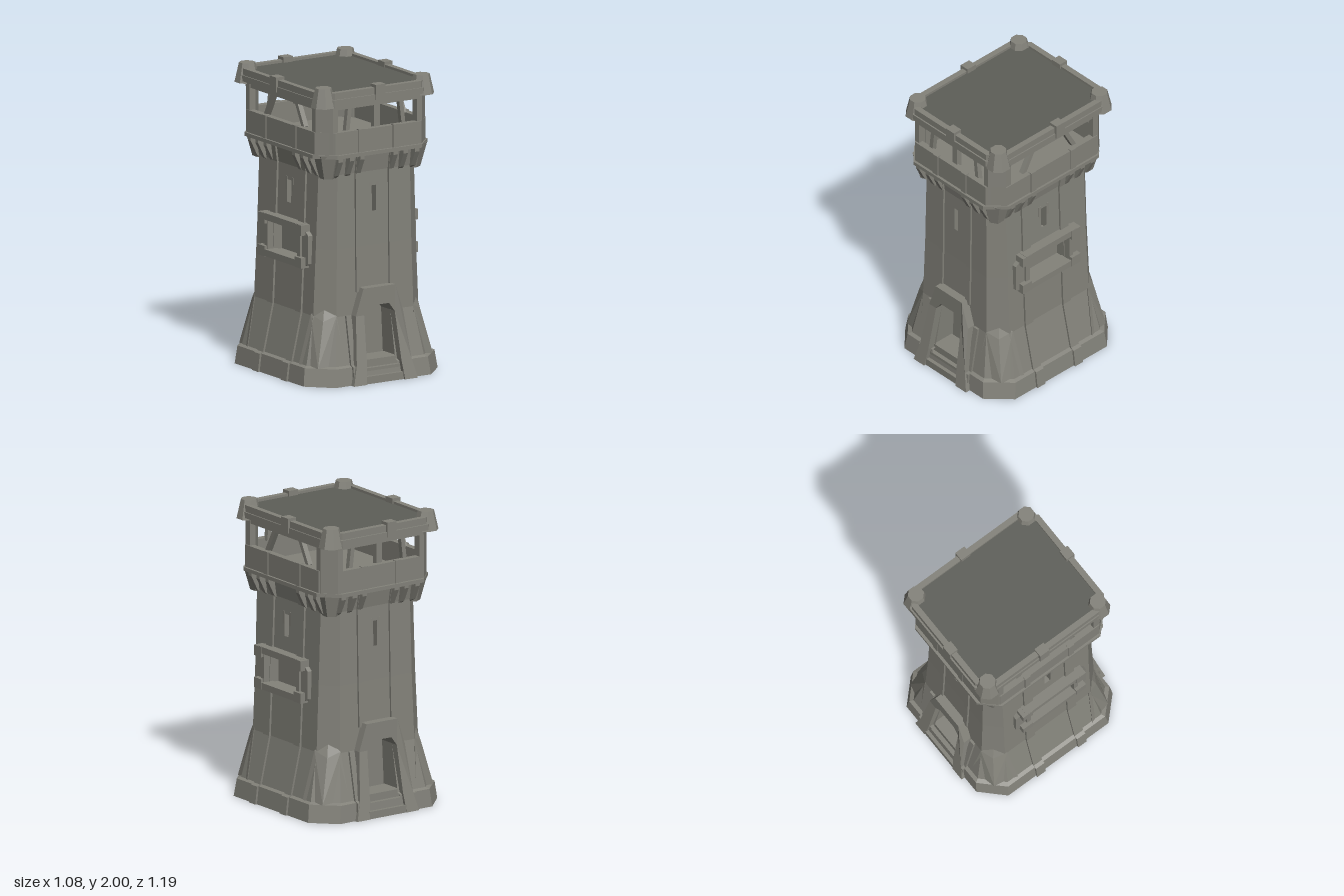
import * as THREE from 'three';
import { ConvexGeometry } from 'three/addons/geometries/ConvexGeometry.js';

const mat = (name, color) => {
  const m = new THREE.MeshStandardMaterial({ color, flatShading: true, side: THREE.DoubleSide });
  m.name = name;
  return m;
};

// Tower outline at each height: y, half width, front z, back z, corner chamfer
const LEVELS = [
  [0, 0.525, 0.545, -0.585, 0.15],
  [0.12, 0.51, 0.53, -0.575, 0.15],
  [0.13, 0.485, 0.505, -0.55, 0.14],
  [0.45, 0.412, 0.445, -0.485, 0.11],
  [0.9, 0.392, 0.435, -0.47, 0.1],
  [1.4, 0.375, 0.43, -0.46, 0.09],
  [1.54, 0.395, 0.45, -0.485, 0.09],
];

function outline(y) {
  let i = 0;
  while (i < LEVELS.length - 2 && y > LEVELS[i + 1][0]) i++;
  const a = LEVELS[i], b = LEVELS[i + 1], t = (y - a[0]) / (b[0] - a[0]);
  const [, X, zf, zb, c] = a.map((v, k) => v + (b[k] - v) * t);
  return { X, zf, zb, c };
}

// Distance of a side's wall from the axis, and the ends of that wall (sides: front, left, back, right)
function wall(side, y) {
  const { X, zf, zb, c } = outline(y);
  if (side === 0) return { d: zf, e0: c - X, e1: X - c };
  if (side === 2) return { d: -zb, e0: c - X, e1: X - c };
  return side === 1 ? { d: X, e0: c - zf, e1: -zb - c } : { d: X, e0: zb + c, e1: zf - c };
}

function quadGeometry(quads) {
  const pos = [];
  for (const [a, b, c, d] of quads) pos.push(...a, ...b, ...c, ...a, ...c, ...d);
  const g = new THREE.BufferGeometry();
  g.setAttribute('position', new THREE.Float32BufferAttribute(pos, 3));
  g.computeVertexNormals();
  return g;
}

const poly = (pts) => new THREE.Shape(pts.map(([x, y]) => new THREE.Vector2(x, y)));
const extrude = (shape, depth) => new THREE.ExtrudeGeometry(shape, { depth, bevelEnabled: false });

// Chamfered rectangle seen from above
const plan = (X, zf, zb, c) => poly([
  [-X + c, -zf], [X - c, -zf], [X, -zf + c], [X, -zb - c],
  [X - c, -zb], [-X + c, -zb], [-X, -zb - c], [-X, -zf + c],
]);

function slab(X, zf, zb, c, y0, y1, thick = 0) {
  const s = plan(X, zf, zb, c);
  if (thick) s.holes.push(plan(X - thick, zf - thick, zb + thick, c * 0.8));
  return extrude(s, y1 - y0).rotateX(-Math.PI / 2).translate(0, y0, 0);
}

export function createModel() {
  const stone = mat('stone', 0x83827a);
  const roofMat = mat('dark roof', 0x5d5e58);
  const root = new THREE.Group();
  root.name = 'watchtower';

  const add = (parent, name, geo, m = stone) => {
    const mesh = new THREE.Mesh(geo, m);
    mesh.name = name;
    parent.add(mesh);
    return mesh;
  };
  const box = (parent, name, w, h, d, x, y, z) =>
    add(parent, name, new THREE.BoxGeometry(w, h, d).translate(x, y, z));

  // Wall of one side, leaving the given openings [u0, u1, y0, y1] free
  function wallGeometry(side, holes) {
    const us = [...new Set(holes.flatMap((h) => [h[0], h[1]]))].sort((a, b) => a - b);
    const ys = [...new Set([...LEVELS.map((l) => l[0]), ...holes.flatMap((h) => [h[2], h[3]])])].sort((a, b) => a - b);
    const quads = [];
    for (let j = 0; j < ys.length - 1; j++) {
      const lo = wall(side, ys[j]), hi = wall(side, ys[j + 1]);
      const ul = [lo.e0, ...us, lo.e1], uh = [hi.e0, ...us, hi.e1];
      for (let i = 0; i < ul.length - 1; i++) {
        const um = (ul[i] + ul[i + 1]) / 2, ym = (ys[j] + ys[j + 1]) / 2;
        if (holes.some((h) => um > h[0] && um < h[1] && ym > h[2] && ym < h[3])) continue;
        quads.push([[ul[i], ys[j], lo.d], [ul[i + 1], ys[j], lo.d],
          [uh[i + 1], ys[j + 1], hi.d], [uh[i], ys[j + 1], hi.d]]);
      }
    }
    return quadGeometry(quads);
  }

  // Raised strip that follows the wall's slope
  function strip(side, u0, u1, y0, y1, out) {
    const ys = [y0, ...LEVELS.map((l) => l[0]).filter((y) => y > y0 && y < y1), y1];
    const p = (u, y, o) => [u, y, wall(side, y).d + o];
    const quads = [[p(u0, y1, out), p(u1, y1, out), p(u1, y1, -0.01), p(u0, y1, -0.01)],
      [p(u0, y0, -0.01), p(u1, y0, -0.01), p(u1, y0, out), p(u0, y0, out)]];
    for (let i = 0; i < ys.length - 1; i++) {
      const a = ys[i], b = ys[i + 1];
      quads.push([p(u0, a, out), p(u1, a, out), p(u1, b, out), p(u0, b, out)]);
      quads.push([p(u1, a, out), p(u1, a, -0.01), p(u1, b, -0.01), p(u1, b, out)]);
      quads.push([p(u0, a, -0.01), p(u0, a, out), p(u0, b, out), p(u0, b, -0.01)]);
    }
    return quadGeometry(quads);
  }

  // Door surround with splayed legs, closed at the back of the niche
  function doorway(g, d, steps) {
    const half = [[0.25, 0], [0.215, 0.13], [0.185, 0.45], [0.125, 0.63]];
    const inner = [[0.075, 0.51], [0.12, 0.45], [0.135, 0.13], [0.15, 0]];
    const right = [...half, ...[]];
    const left = (pts) => pts.map(([x, y]) => [-x, y]).reverse();
    const geo = extrude(poly([...right, ...left(half), ...left(inner), ...inner.map((p) => p)]), 0.2);
    const p = geo.attributes.position;
    for (let i = 0; i < p.count; i++) {
      const front = p.getZ(i) > 0.1, y = p.getY(i);
      p.setZ(i, front ? d + 0.055 + (steps ? 0.08 : 0.07) * Math.max(0, 1 - y / 0.45) : d - 0.12);
    }
    add(g, 'doorFrame', geo);
    box(g, 'doorPanel', 0.3, 0.56, 0.02, 0, 0.28, d - 0.12);
    for (let i = 0; i < 3; i++)
      box(g, 'step', 0.3, 0.05, 0.22 - i * 0.03, 0, 0.025 + i * 0.05, d + 0.01 - i * 0.015);
  }

  // Projecting window with a chamfered stone surround
  function window(g, d) {
    const s = poly([[-0.29, 0.79], [-0.24, 0.765], [0.24, 0.765], [0.29, 0.79], [0.29, 0.98], [0.2, 1.05], [-0.2, 1.05], [-0.29, 0.98]]);
    s.holes.push(poly([[-0.175, 0.8], [-0.175, 1], [0.175, 1], [0.175, 0.8]]));
    add(g, 'windowFrame', extrude(s, 0.11).translate(0, 0, d - 0.08));
    box(g, 'windowBack', 0.38, 0.24, 0.02, 0, 0.9, d - 0.08);
    box(g, 'windowSill', 0.5, 0.045, 0.09, 0, 0.785, d + 0.02);
    box(g, 'windowHead', 0.46, 0.045, 0.09, 0, 1.03, d + 0.02);
    for (const m of [-1, 1]) {
      for (const y of [0.795, 1.015]) box(g, 'windowCorner', 0.08, 0.07, 0.07, m * 0.22, y, d + 0.032);
      box(g, 'windowJamb', 0.035, 0.2, 0.04, m * 0.195, 0.9, d + 0.025);
    }
  }

  // Four sides
  ['front', 'left', 'back', 'right'].forEach((label, side) => {
    const g = new THREE.Group();
    g.name = label + 'Side';
    g.rotation.y = side * Math.PI / 2;
    root.add(g);
    const isDoor = side % 2 === 0;
    // the upper storey sits slightly behind the axis
    const mid = side === 1 ? 0.03 : side === 3 ? -0.03 : 0;
    const slit = isDoor ? [-0.016, 0.016, 1.13, 1.3] : [-0.025, 0.025, 1.15, 1.3];
    const opening = isDoor ? [-0.12, 0.12, 0.1, 0.5] : [-0.17, 0.17, 0.8, 1];
    add(g, 'wall', wallGeometry(side, [slit, opening]));

    const dSlit = wall(side, 1.2).d;
    for (const m of [-1, 1])
      box(g, 'slitJamb', 0.02, 0.2, 0.07, m * (slit[1] + 0.01), 1.22, dSlit - 0.036);
    if (isDoor) {
      doorway(g, wall(side, 0.45).d, side === 0);
      for (const m of [-1, 1]) {
        const a = m < 0 ? -0.15 : 0.11;
        add(g, 'pilaster', strip(side, a, a + 0.04, 0.6, 1.53, 0.014));
        const b = m < 0 ? -0.235 : 0.195;
        add(g, 'lowPilaster', strip(side, b, b + 0.04, 0, 0.45, 0.016));
      }
    } else {
      window(g, wall(side, 0.9).d);
      for (const m of [-1, 1]) {
        const a = m < 0 ? -0.205 : 0.135;
        add(g, 'pilaster', strip(side, a, a + 0.07, 0, 0.78, 0.014));
        add(g, 'pilaster', strip(side, a, a + 0.07, 1.04, 1.53, 0.014));
      }
    }

    // Corbels under the gallery
    const dTop = wall(side, 1.4).d;
    const spots = isDoor ? [-0.3, -0.21, -0.13, 0.13, 0.21, 0.3] : [-0.36, -0.27, -0.17, 0.17, 0.27, 0.36];
    for (const u of spots) {
      const c = extrude(poly([[-0.01, 1.38], [0.015, 1.4], [0.065, 1.5], [0.065, 1.54], [-0.01, 1.54]]), 0.035);
      add(g, 'corbel', c.rotateY(-Math.PI / 2).translate(u + mid + 0.0175, 0, dTop));
    }

    // Gallery: parapet bands, struts and roof lugs
    const dG = [0.485, 0.435, 0.525, 0.435][side];
    for (const u of isDoor ? [-0.135, 0.135] : [-0.18, 0.18]) {
      box(g, 'parapetBand', 0.045, 0.17, 0.03, u + mid, 1.62, dG - 0.005);
      const strut = box(g, 'strut', 0.03, 0.2, 0.035, 0, 0, 0);
      strut.position.set(u * (isDoor ? 1.55 : 1) + mid, 1.78, dG - 0.05);
      strut.rotation.z = Math.sign(u) * (isDoor ? 0.12 : 0.5);
    }
    if (isDoor) box(g, 'midPost', 0.045, 0.2, 0.04, 0.01, 1.78, dG - 0.05);
    const lugU = [0.01, 0.08, 0.05, -0.08][side], lugD = [0.465, 0.425, 0.55, 0.425][side];
    box(g, 'roofLug', 0.075, 0.1, 0.065, lugU, 1.94, lugD);
  });

  // Chamfered corners, corner rocks, gallery posts and roof caps
  for (const sx of [-1, 1]) for (const front of [true, false]) {
    const at = (y) => {
      const { X, zf, zb, c } = outline(y), s = front ? 1 : -1, z = front ? zf : zb;
      return [[sx * (X - c), y, z], [sx * X, y, z - s * c]];
    };
    const quads = [];
    for (let i = 0; i < LEVELS.length - 1; i++) {
      const a = at(LEVELS[i][0]), b = at(LEVELS[i + 1][0]);
      quads.push((sx > 0) === front ? [a[0], a[1], b[1], b[0]] : [a[1], a[0], b[0], b[1]]);
    }
    add(root, 'corner', quadGeometry(quads));

    const s = front ? 1 : -1, oz = front ? -0.025 : -0.02;
    const rock = [[0.27, 0.12, 0.53], [0.495, 0.12, 0.31], [0.45, 0.12, 0.475], [0.3, 0.46, 0.47],
      [0.418, 0.46, 0.34], [0.38, 0.42, 0.43], [0.34, 0.1, 0.36], [0.35, 0.53, 0.4]];
    add(root, 'cornerRock', new ConvexGeometry(rock.map(([x, y, z]) => new THREE.Vector3(sx * x, y, s * z + oz))));

    const Z = front ? 0.475 : -0.53;
    const post = [[0.31, 0], [0.35, 0], [0.43, 0.085], [0.43, 0.13], [0.385, 0.13], [0.31, 0.055]];
    const geo = extrude(poly(post.map(([x, k]) => [sx * x, -(Z - s * k)])), 0.36);
    add(root, 'galleryPost', geo.rotateX(-Math.PI / 2).translate(0, 1.54, 0));

    const cap = add(root, 'roofCap', new THREE.CylinderGeometry(0.055, 0.085, 0.13, 8).rotateY(Math.PI / 8));
    cap.position.set(sx * 0.385, 1.935, front ? 0.415 : -0.5);
    const corb = add(root, 'cornerCorbel', new THREE.CylinderGeometry(0.1, 0.055, 0.16, 6));
    corb.position.set(sx * 0.33, 1.46, front ? 0.385 : -0.42);
  }

  // Foot, gallery floor, parapet and roof
  add(root, 'footPlate', slab(0.52, 0.54, -0.58, 0.15, 0, 0.01));
  add(root, 'galleryFloor', slab(0.452, 0.505, -0.55, 0.12, 1.525, 1.55));
  add(root, 'parapet', slab(0.437, 0.487, -0.53, 0.1, 1.55, 1.7, 0.045));
  add(root, 'roofSlab', slab(0.425, 0.475, -0.545, 0.09, 1.85, 1.945));
  add(root, 'eaves', slab(0.448, 0.495, -0.58, 0.1, 1.885, 1.925, 0.05));
  add(root, 'roofRim', slab(0.44, 0.485, -0.568, 0.1, 1.92, 1.97, 0.04));
  add(root, 'roofPanel', slab(0.402, 0.447, -0.53, 0.08, 1.945, 1.953), roofMat);
  return root;
}
